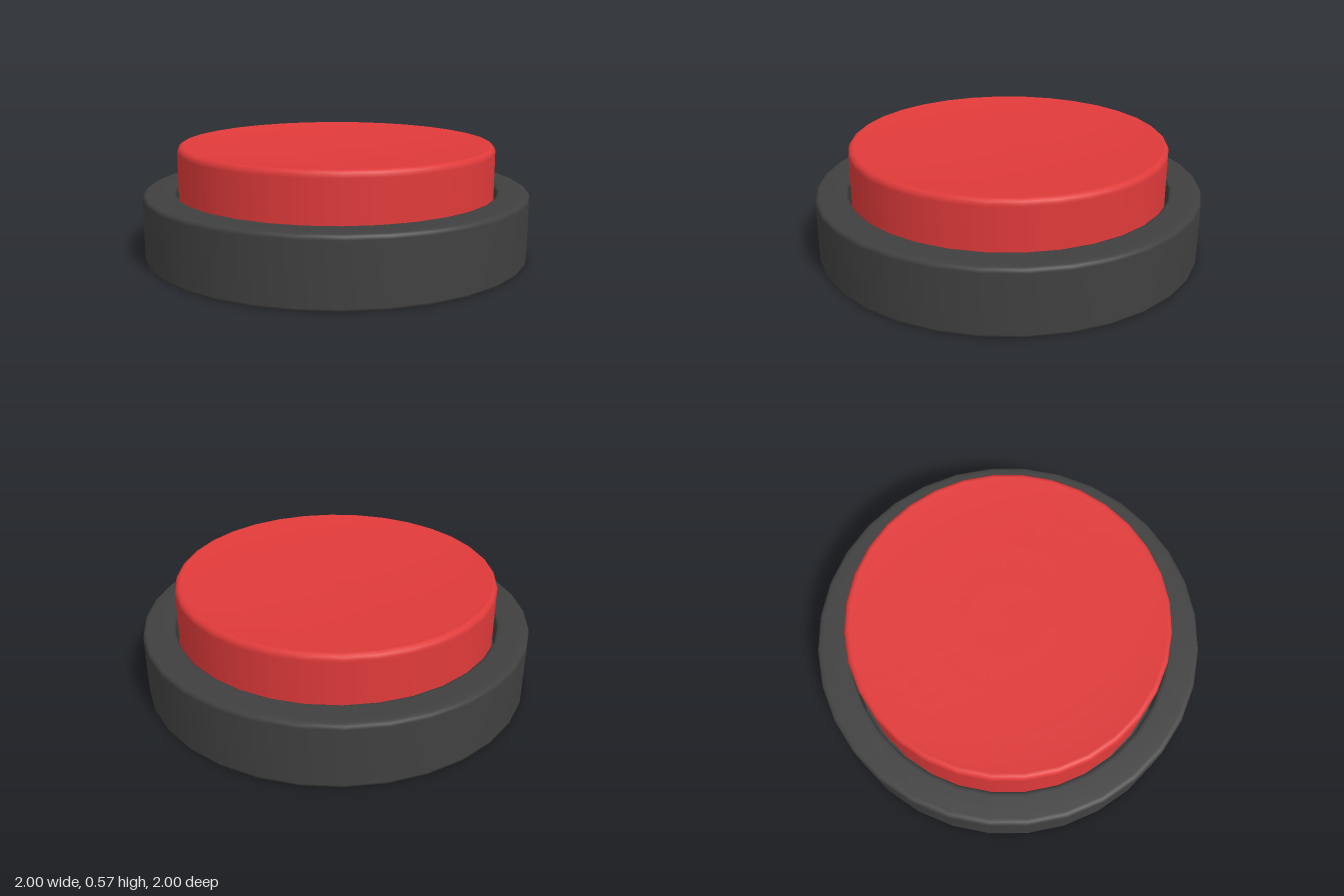
import * as THREE from 'three';

const SIDES = 32;

// Turned part from [radius, height] pairs, listed from the underside outward and up
function turned(name, profile, material) {
  const points = profile.map(([r, y]) => new THREE.Vector2(r, y));
  const mesh = new THREE.Mesh(new THREE.LatheGeometry(points, SIDES), material);
  mesh.name = name;
  return mesh;
}

export function createModel() {
  const black = new THREE.MeshStandardMaterial({ color: 0x404040 });
  black.name = 'blackPlastic';
  const red = new THREE.MeshStandardMaterial({ color: 0xe03a3a });
  red.name = 'redPlastic';

  const group = new THREE.Group();
  group.name = 'pushButton';

  // Housing: flat underside, straight wall, softened rim and a well for the cap
  group.add(turned('base', [
    [0, 0], [1, 0], [1, 0.01], [1, 0.31], [0.997, 0.325], [0.985, 0.332],
    [0.97, 0.333], [0.86, 0.333], [0.845, 0.331], [0.837, 0.325], [0.835, 0.31],
    [0.835, 0.21], [0.835, 0.2], [0.825, 0.2], [0, 0.2],
  ], black));

  // Cap: straight wall, rounded rim and a shallow dished top
  const dish = [0.77, 0.6, 0.4, 0.2, 0].map((r) => [r, 0.535 + 0.027 * (r / 0.77) ** 2]);
  group.add(turned('buttonCap', [
    [0.82, 0.2], [0.82, 0.535], [0.82, 0.545], [0.815, 0.558], [0.805, 0.567],
    [0.79, 0.57], ...dish,
  ], red));

  return group;
}
